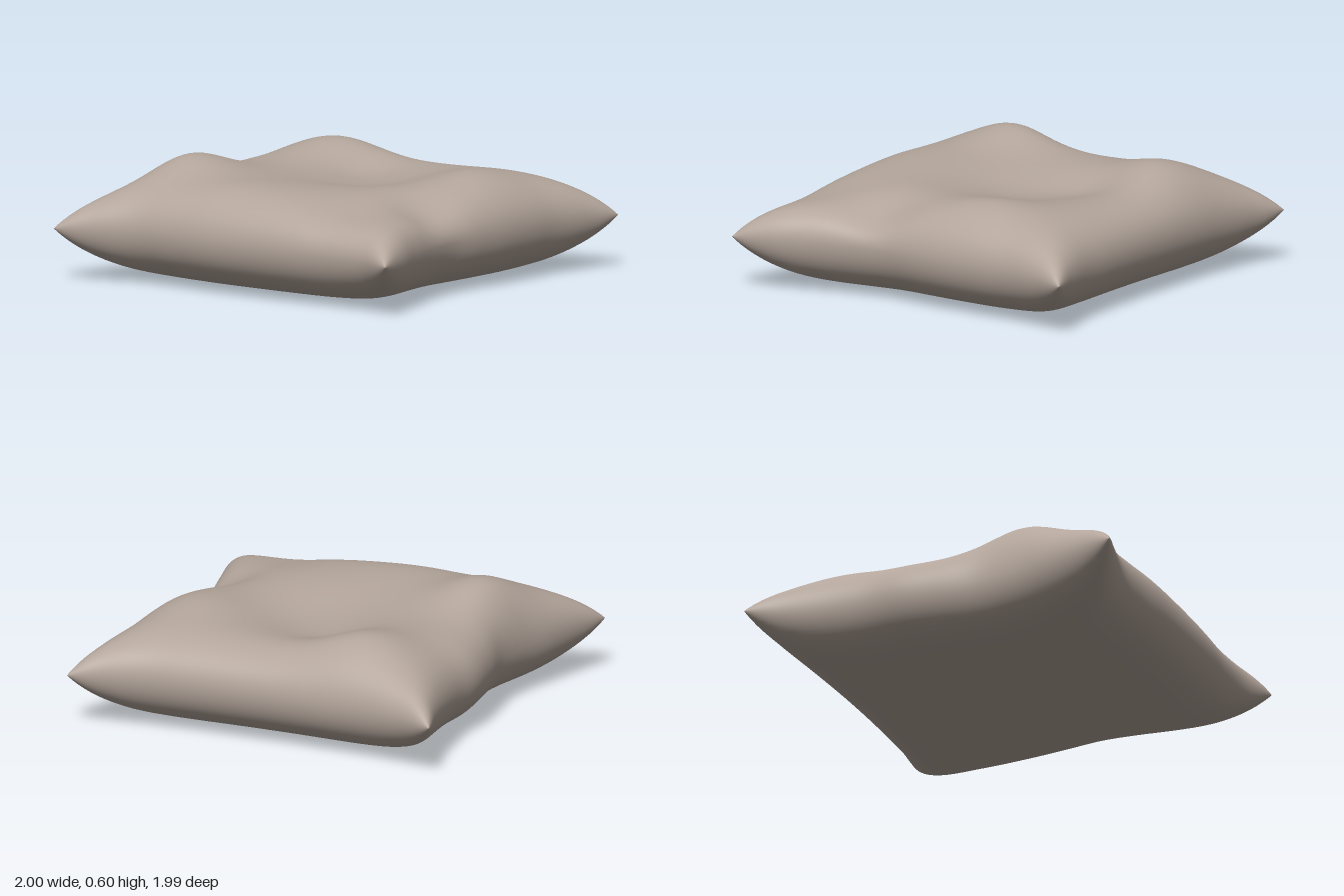
import * as THREE from 'three';
import { mergeVertices } from 'three/addons/utils/BufferGeometryUtils.js';

const SEAM_Y = 0.265;
const N = 72;

// Smooth edge curve through evenly spaced offsets, sampled with t in [-1, 1]
function edge(values) {
  const curve = new THREE.SplineCurve(values.map((v, i) => new THREE.Vector2(i, v)));
  return (t) => curve.getPoint((t + 1) / 2).y;
}

// Seam outline: x of the two sides along z, z of back and front along x
const sideNeg = edge([-0.995, -0.94, -0.9, -0.88, -0.885, -0.86, -0.83, -0.85, -0.9, -0.95, -1]);
const sidePos = edge([0.985, 0.94, 0.905, 0.895, 0.885, 0.865, 0.845, 0.865, 0.91, 0.965, 1]);
const back = edge([-1, -0.95, -0.92, -0.908, -0.902, -0.9, -0.902, -0.908, -0.92, -0.955, -1]);
const front = edge([0.99, 0.93, 0.88, 0.88, 0.89, 0.892, 0.89, 0.885, 0.875, 0.885, 0.935]);

// Soft lumps and hollows of the top: x, z, height, radius
const lumps = [
  [-0.68, 0.35, 0.12, 0.26],
  [-0.45, -0.64, 0.075, 0.28],
  [0.05, -0.18, -0.07, 0.36],
  [-0.15, -0.42, -0.035, 0.2],
  [-0.15, 0.65, 0.02, 0.3],
  [0.62, -0.32, 0.045, 0.25],
  [0.78, 0.25, -0.08, 0.2],
  [0.62, 0.66, -0.05, 0.28],
];

function topHeight(x, z) {
  return lumps.reduce((h, [cx, cz, a, r]) =>
    h + a * Math.exp(-((x - cx) ** 2 + (z - cz) ** 2) / (r * r)), 0.51);
}

// Rounded fall-off from the flat middle to the seam
const puff = (t) => Math.sqrt(Math.max(0, 1 - Math.abs(t) ** 6));

function createCushion() {
  const positions = [];
  const index = [];
  for (const top of [true, false]) {
    const start = positions.length / 3;
    for (let j = 0; j <= N; j++) {
      for (let i = 0; i <= N; i++) {
        // Rows crowd towards the seam to keep the bulge smooth
        const u = Math.sin((i / N - 0.5) * Math.PI);
        const v = Math.sin((j / N - 0.5) * Math.PI);
        const x = THREE.MathUtils.lerp(sideNeg(v), sidePos(v), (u + 1) / 2);
        const z = THREE.MathUtils.lerp(back(u), front(u), (v + 1) / 2);
        const onSeam = i === 0 || j === 0 || i === N || j === N;
        const f = onSeam ? 0 : puff(u) * puff(v);
        const y = top ? SEAM_Y + (topHeight(x, z) - SEAM_Y) * f : SEAM_Y * (1 - f);
        positions.push(x, y, z);
      }
    }
    for (let j = 0; j < N; j++) {
      for (let i = 0; i < N; i++) {
        const a = start + j * (N + 1) + i;
        const b = a + 1;
        const c = a + N + 1;
        const d = c + 1;
        if (top) index.push(a, c, b, b, c, d);
        else index.push(a, b, c, b, d, c);
      }
    }
  }
  const geometry = new THREE.BufferGeometry();
  geometry.setAttribute('position', new THREE.Float32BufferAttribute(positions, 3));
  geometry.setIndex(index);
  // Weld both halves along the seam
  const welded = mergeVertices(geometry, 1e-5);
  welded.computeVertexNormals();
  return welded;
}

export function createModel() {
  const fabric = new THREE.MeshStandardMaterial({ color: 0xb3a59b });
  fabric.name = 'taupeFabric';
  const cushion = new THREE.Mesh(createCushion(), fabric);
  cushion.name = 'cushion';
  const group = new THREE.Group();
  group.name = 'pillow';
  group.add(cushion);
  return group;
}
